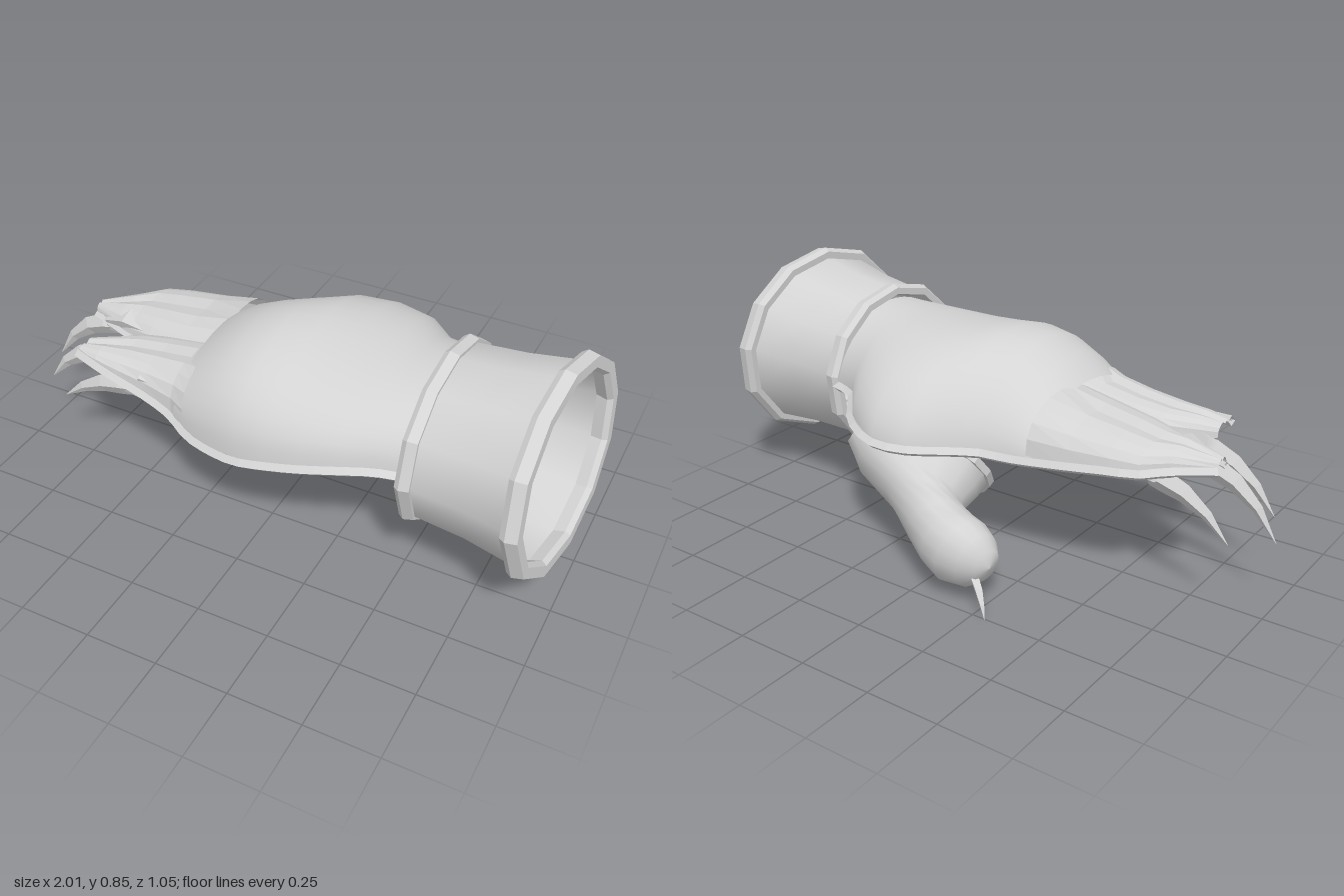
import * as THREE from 'three';

const V = (x, y, z) => new THREE.Vector3(x, y, z);
const rad = THREE.MathUtils.degToRad;

// Skin a list of point rings; closed rings wrap around, loop joins last ring to first
function loft(rings, { closed = true, loop = false, flat = false } = {}) {
  const n = rings[0].length, m = rings.length, idx = [];
  for (let i = 0; i < (loop ? m : m - 1); i++) {
    for (let j = 0; j < (closed ? n : n - 1); j++) {
      const i2 = (i + 1) % m, j2 = (j + 1) % n;
      const a = i * n + j, b = i2 * n + j, c = i2 * n + j2, d = i * n + j2;
      idx.push(a, b, c, a, c, d);
    }
  }
  let g = new THREE.BufferGeometry().setFromPoints(rings.flat());
  g.setIndex(idx);
  if (flat) g = g.toNonIndexed();
  g.computeVertexNormals();
  return g;
}

// Ring around a centre from two half-axis vectors
function ellipse(c, u, v, n, phase = 0) {
  return Array.from({ length: n }, (_, k) => {
    const t = (k / n) * Math.PI * 2 + phase;
    return c.clone().addScaledVector(u, Math.cos(t)).addScaledVector(v, Math.sin(t));
  });
}

// Open arch: [x, front z, front y, back z, back y, top y]
function arch([x, zf, yf, zb, yb, top], n, frontPower, backPower, dip = 0) {
  return Array.from({ length: n + 1 }, (_, k) => {
    const t = (k / n) * Math.PI, s = (1 - Math.cos(t)) / 2;
    const base = THREE.MathUtils.lerp(yf, yb, s);
    const lift = Math.pow(Math.max(0, Math.sin(t)), s > 0.5 ? backPower : frontPower);
    const groove = dip * Math.exp(-Math.pow((s - 0.5) / 0.1, 2));
    return V(x, base + (top - base) * lift - groove, THREE.MathUtils.lerp(zf, zb, s));
  });
}

// Square-edged piping along a path
function piping(points, r, closed = false) {
  const curve = new THREE.CatmullRomCurve3(points, closed);
  const g = new THREE.TubeGeometry(curve, points.length * 2, r, 4, closed).toNonIndexed();
  g.computeVertexNormals();
  return g;
}

export function createModel() {
  const model = new THREE.Group();
  const grey = new THREE.MeshStandardMaterial({ color: 0xd4d4d4, side: THREE.DoubleSide });
  grey.name = 'plain grey';
  const add = (name, geo, parent = model) => {
    const mesh = new THREE.Mesh(geo, grey);
    mesh.name = name;
    parent.add(mesh);
  };
  const group = (name) => {
    const g = new THREE.Group();
    g.name = name;
    model.add(g);
    return g;
  };

  // Cuff: flared, slightly uneven twelve-sided sleeve with a heavy band at each end
  const cuffRing = (x, cy, ry, cz, rz, tiltY, tiltZ) =>
    Array.from({ length: 12 }, (_, k) => {
      const t = rad(90 + 30 * k - 5 * (1 - Math.cos(rad(30 * k + 45))));
      const dy = ry * Math.sin(t), dz = rz * Math.cos(t);
      return V(x + tiltY * dy + tiltZ * dz, cy + dy, cz + dz);
    });
  const outer = (dx, d) => cuffRing(0.94 + dx, 0.495, 0.357 - d, 0.14, 0.384 - d, -0.06, -0.1);
  const wrist = (dx, d) => cuffRing(0.555 + dx, 0.48, 0.302 - d, 0.11, 0.335 - d, 0.01, -0.04);
  const cuff = group('cuff');
  const middle = cuffRing(0.75, 0.488, 0.295, 0.124, 0.325, -0.03, -0.07);
  add('cuffSleeve', loft([wrist(0, 0.022), middle, outer(0, 0.032)]), cuff);
  const band = (f, w, d) => loft(
    [f(-w, 0.012), f(-w * 0.3, 0), f(w, 0.008), f(w, d), f(w * 0.4, d + 0.012), f(-w, d)],
    { loop: true, flat: true });
  add('cuffOuterBand', band(outer, 0.028, 0.045), cuff);
  add('cuffWristBand', band(wrist, 0.025, 0.036), cuff);

  // Back of the hand: open-bottomed shell
  const hand = [
    [0.56, 0.385, 0.48, -0.2, 0.49, 0.725],
    [0.45, 0.42, 0.49, -0.24, 0.49, 0.715],
    [0.35, 0.45, 0.48, -0.355, 0.46, 0.718],
    [0.22, 0.475, 0.455, -0.41, 0.435, 0.72],
    [0.1, 0.485, 0.43, -0.39, 0.43, 0.727],
    [0, 0.485, 0.41, -0.305, 0.42, 0.73],
    [-0.1, 0.465, 0.4, -0.25, 0.42, 0.71],
    [-0.2, 0.435, 0.4, -0.235, 0.42, 0.66],
    [-0.28, 0.4, 0.415, -0.23, 0.425, 0.597],
  ];
  add('handBack', loft(hand.map((s) => arch(s, 20, 0.85, 1.15)), { closed: false }));

  // Two overlapping finger plates, each spanning a pair of fingers
  const plateA = [
    [-0.26, 0.175, 0.49, -0.23, 0.425, 0.605],
    [-0.4, 0.165, 0.48, -0.215, 0.44, 0.575],
    [-0.54, 0.14, 0.47, -0.195, 0.455, 0.555],
    [-0.63, 0.115, 0.46, -0.175, 0.46, 0.54],
    [-0.7, 0.09, 0.46, -0.1, 0.46, 0.53],
    [-0.82, 0.045, 0.46, -0.015, 0.46, 0.5],
  ];
  const plateB = [
    [-0.24, 0.415, 0.405, 0.09, 0.51, 0.585],
    [-0.3, 0.385, 0.42, 0.09, 0.5, 0.57],
    [-0.42, 0.36, 0.445, 0.1, 0.49, 0.55],
    [-0.54, 0.345, 0.465, 0.12, 0.475, 0.535],
    [-0.63, 0.33, 0.48, 0.17, 0.465, 0.525],
    [-0.71, 0.31, 0.49, 0.21, 0.465, 0.51],
  ];
  for (const [name, plate] of [['innerFingerPlate', plateA], ['outerFingerPlate', plateB]]) {
    const rings = plate.map((s, i) => arch(s, 10, 0.75, 0.75, i ? 0.012 : 0));
    add(name, loft(rings, { closed: false, flat: true }));
  }

  // Raised piping along the open edges
  const front = (s) => V(s[0], s[2], s[1]), back = (s) => V(s[0], s[4], s[3]);
  add('frontEdgeTrim', piping([...hand.slice(0, 8), ...plateB.slice(1)].map(front), 0.018));
  add('backEdgeTrim', piping([...hand.slice(0, 8), ...plateA.slice(1)].map(back), 0.018));
  add('plateEdgeTrim', piping(plateA.slice(2).map(front), 0.013));

  // Fingers: boxy segments beneath the plates, each ending in a curved claw
  const fingers = [
    { z: -0.09, root: -0.07, x: -0.66, y: 0.44, tip: [-0.905, 0.27] },
    { z: 0.055, root: 0.09, x: -0.76, y: 0.455, tip: [-1, 0.24] },
    { z: 0.2, root: 0.18, x: -0.69, y: 0.44, tip: [-0.93, 0.25] },
    { z: 0.28, root: 0.31, x: -0.55, y: 0.4, tip: [-0.815, 0.255] },
  ];
  fingers.forEach((f, i) => {
    const finger = group('finger' + (i + 1));
    const seg = (x, y, z, r) => ellipse(V(x, y, z), V(0, r, r * 0.45), V(0, -r * 0.45, r * 0.8), 4, 0.6);
    add('fingerSegment', loft([
      seg(-0.3, 0.455, f.root, 0.002), seg(-0.32, 0.455, f.root, 0.045), seg(-0.44, 0.47, f.root, 0.055),
      seg(f.x + 0.09, f.y + 0.025, f.z + 0.01, 0.05), seg(f.x, f.y, f.z, 0.032), seg(f.x - 0.02, f.y, f.z, 0.002),
    ], { flat: true }), finger);
    // Claw: diamond section swept along an arc to a point
    const arc = new THREE.QuadraticBezierCurve3(
      V(f.x + 0.03, f.y - 0.01, f.z), V(f.x - 0.13, f.y - 0.02, f.z), V(...f.tip, f.z));
    const rings = [[0, 0.034], [0.15, 0.041], [0.4, 0.034], [0.7, 0.02], [1, 0.001]].map(([t, r]) => {
      const d = arc.getTangent(t);
      return ellipse(arc.getPoint(t), V(-d.y, d.x, 0).multiplyScalar(r), V(0, 0, r * 0.58), 4);
    });
    add('claw', loft(rings, { flat: true }), finger);
  });

  // Thumb: open cup stepping down to a narrower neck and a rounded tip
  const thumb = group('thumb');
  const sections = [ // centre, first half axis, second half axis
    [[0.212, 0.3, -0.165], [0, 0.165, -0.125], [0.278, -0.02, 0.01]],
    [[0.2, 0.28, -0.235], [0, 0.165, -0.115], [0.265, -0.01, 0]],
    [[0.15, 0.258, -0.305], [0, 0.148, -0.09], [0.2, 0, -0.02]],
    [[0.06, 0.232, -0.34], [-0.01, 0.12, -0.06], [0.12, 0, -0.05]],
    [[-0.02, 0.195, -0.375], [-0.04, 0.108, -0.035], [0.06, 0, -0.085]],
    [[-0.09, 0.17, -0.405], [-0.045, 0.122, -0.03], [0.04, 0, -0.1]],
    [[-0.15, 0.155, -0.42], [-0.04, 0.125, -0.02], [0.03, 0, -0.103]],
    [[-0.215, 0.148, -0.43], [-0.02, 0.1, -0.01], [0.02, 0, -0.085]],
    [[-0.258, 0.145, -0.435], [-0.01, 0.055, 0], [0.01, 0, -0.05]],
    [[-0.272, 0.143, -0.437], [0, 0.002, 0], [0, 0, -0.002]],
  ].map((s) => s.map((a) => V(...a)));
  add('thumbShell', loft(sections.map(([c, u, v]) => ellipse(c, u, v, 16).reverse())), thumb);
  add('thumbTrim', piping(ellipse(...sections[0], 10), 0.018, true), thumb);
  const thumbArc = new THREE.QuadraticBezierCurve3(V(-0.22, 0.13, -0.46), V(-0.27, 0.09, -0.49), V(-0.3, 0, -0.505));
  const clawRings = [[0, 0.025], [0.35, 0.022], [0.7, 0.012], [1, 0.001]].map(([t, r]) =>
    ellipse(thumbArc.getPoint(t), V(r, r * 0.5, 0), V(0, 0, r * 0.6), 4));
  add('thumbClaw', loft(clawRings, { flat: true }), thumb);

  return model;
}
